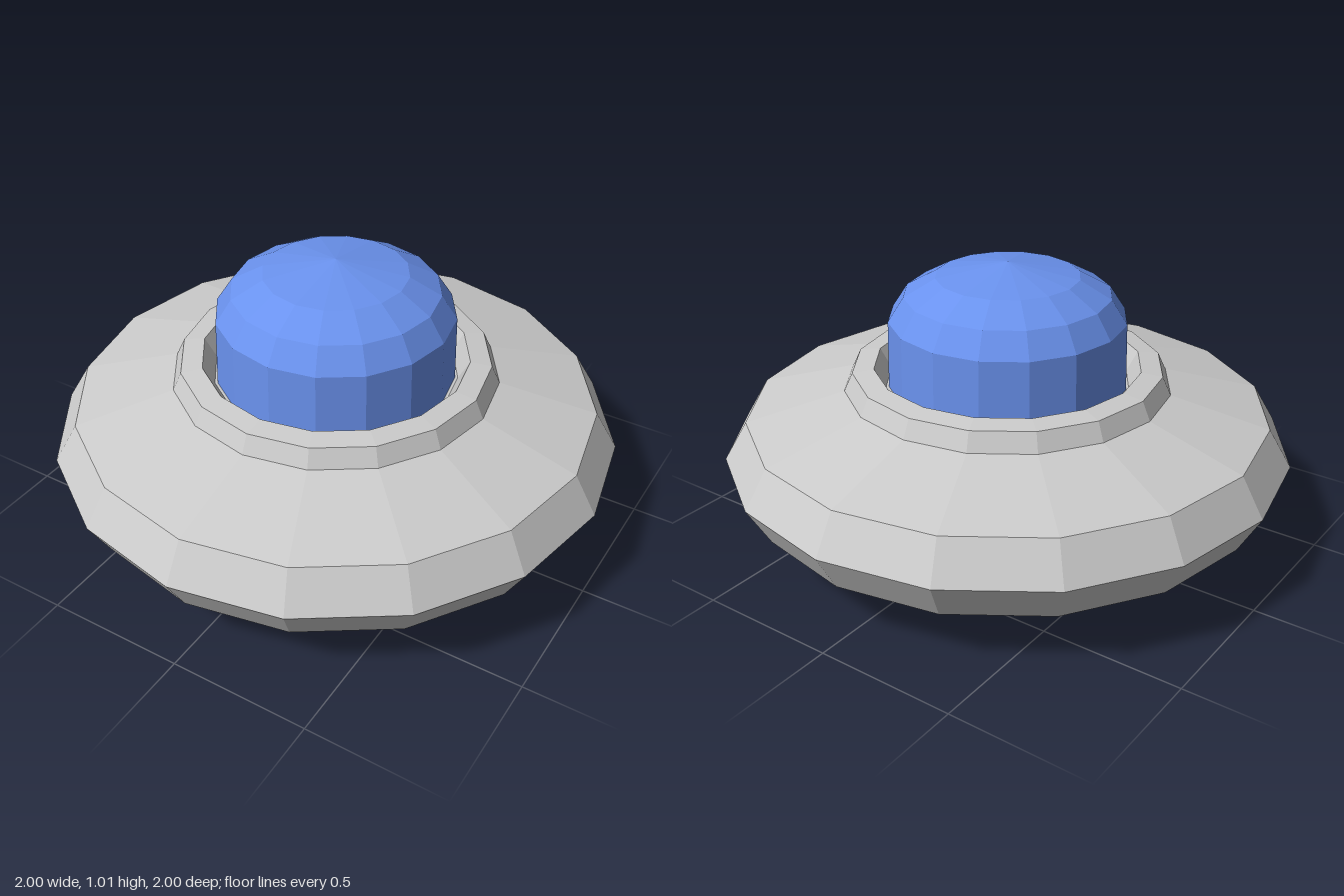
import * as THREE from 'three';

const SIDES = 16;

// Revolves a profile of [radius, height] pairs, listed from bottom to top.
function lathe(name, profile, color) {
  const points = profile.map(([r, y]) => new THREE.Vector2(r, y));
  const material = new THREE.MeshStandardMaterial({ color, flatShading: true });
  const mesh = new THREE.Mesh(new THREE.LatheGeometry(points, SIDES), material);
  mesh.name = name;
  return mesh;
}

export function createModel() {
  const group = new THREE.Group();
  group.name = 'flyingSaucer';

  // Hull: thruster nub, recess, foot, disc, collar and dome socket
  group.add(lathe('hull', [
    [0, 0.03], [0.145, 0.03], [0.21, 0.055], [0.25, 0.1],
    [0.31, 0.005], [0.375, 0], [0.445, 0.03], [0.475, 0.11],
    [0.92, 0.205], [1, 0.345], [0.92, 0.48],
    [0.575, 0.575], [0.545, 0.64], [0.47, 0.65], [0.43, 0.58], [0, 0.58],
  ], 0xcccccc));

  // Glass dome with straight sides and a shallow pointed cap
  group.add(lathe('dome', [
    [0, 0.58], [0.42, 0.58], [0.415, 0.82], [0.36, 0.905], [0.25, 0.967], [0, 1.015],
  ], 0x6a92ee));

  return group;
}
